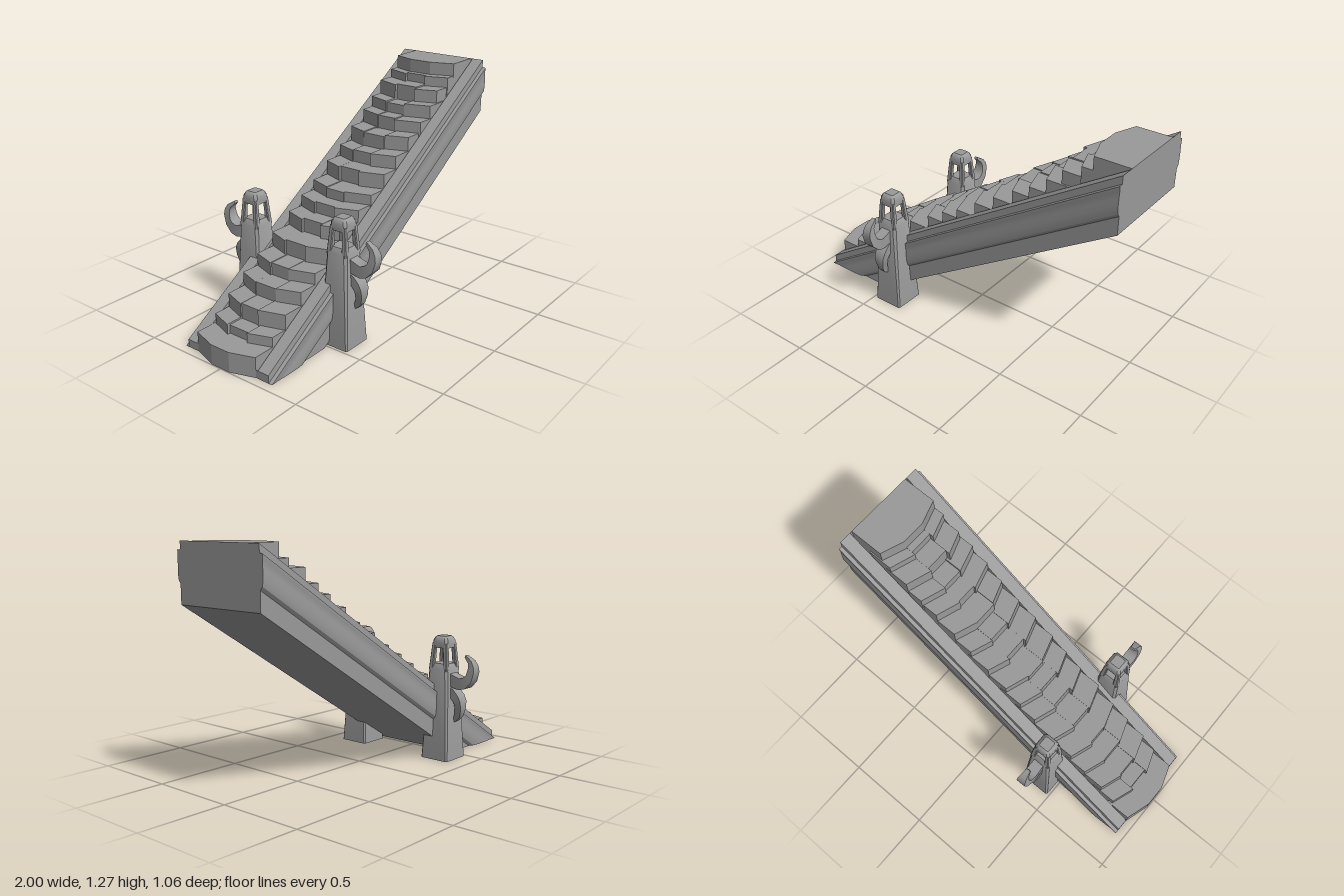
import * as THREE from 'three';
import { toCreasedNormals } from 'three/addons/utils/BufferGeometryUtils.js';

const material = new THREE.MeshStandardMaterial({ color: 0x9a9a9a });

// Solid through rings of [x, y, z] points; caps join point i to its mirror point n-1-i.
function loft(rings, crease = 0.5) {
  const pos = [];
  const n = rings[0].length;
  const quad = (a, b, c, d) => pos.push(...a, ...b, ...c, ...a, ...c, ...d);
  for (let k = 0; k < rings.length - 1; k++) {
    const r = rings[k], s = rings[k + 1];
    for (let i = 0; i < n; i++) {
      const j = (i + 1) % n;
      quad(r[i], r[j], s[j], s[i]);
    }
  }
  const first = rings[0], last = rings[rings.length - 1];
  for (let i = 0; i < n / 2 - 1; i++) {
    quad(first[n - 1 - i], first[n - 2 - i], first[i + 1], first[i]);
    quad(last[i], last[i + 1], last[n - 2 - i], last[n - 1 - i]);
  }
  // Turn the faces outward when the enclosed volume is negative
  let volume = 0;
  const a = new THREE.Vector3(), b = new THREE.Vector3(), c = new THREE.Vector3();
  for (let i = 0; i < pos.length; i += 9) {
    volume += a.fromArray(pos, i).dot(b.fromArray(pos, i + 3).cross(c.fromArray(pos, i + 6)));
  }
  if (volume < 0) {
    for (let i = 0; i < pos.length; i += 9) {
      const t = pos.slice(i, i + 3);
      for (let k = 0; k < 3; k++) { pos[i + k] = pos[i + 3 + k]; pos[i + 3 + k] = t[k]; }
    }
  }
  const geometry = new THREE.BufferGeometry();
  geometry.setAttribute('position', new THREE.Float32BufferAttribute(pos, 3));
  geometry.computeVertexNormals();
  return toCreasedNormals(geometry, crease);
}

function add(parent, name, geometry) {
  const mesh = new THREE.Mesh(geometry, material);
  mesh.name = name;
  parent.add(mesh);
}

// Square ring of half size h at height y, with corners cut by c
function square(x, y, z, h, c) {
  const side = (s) => [
    [x - h, y, z + s * (h - c)], [x - h + c, y, z + s * h], [x + h - c, y, z + s * h], [x + h, y, z + s * (h - c)],
  ];
  return [...side(-1), ...side(1).reverse()];
}

// Sloping body: bulged sides, narrow rails and a shallow channel, cut level at the ground
function rampGeometry() {
  const slope = 0.628;
  const half = [
    [0.213, 1.2], [0.213, 1.27], [0.283, 1.27], [0.284, 1.228], [0.305, 1.225], [0.304, 1.208],
    [0.302, 1.2], [0.304, 1.165], [0.305, 1.13], [0.304, 1.1], [0.3, 1.078], [0.287, 1.06], [0.286, 0.957],
  ];
  const profile = [...half, ...half.map(([z, y]) => [-z, y]).reverse()];
  const top = profile.map(([z, y]) => [1, y, z]);
  const foot = profile.map(([z, y]) => {
    const x = Math.max(-0.95, 1 - y / slope);
    return [x, Math.max(0, y - slope * (1 - x)), z];
  });
  return loft([top, foot], 0.45);
}

// Rows of three worn blocks, bowed toward the foot of the stair
function buildSteps() {
  const steps = new THREE.Group();
  steps.name = 'steps';
  let seed = 7;
  const jitter = (s) => {
    seed = (seed * 16807) % 2147483647;
    return (seed / 2147483647 - 0.5) * 2 * s;
  };
  const rows = [
    [-1, 0.115], [-0.88, 0.17], [-0.79, 0.25], [-0.665, 0.33], [-0.55, 0.4], [-0.42, 0.485],
    [-0.29, 0.56], [-0.18, 0.63], [-0.08, 0.69], [0.045, 0.765], [0.165, 0.845], [0.28, 0.92],
    [0.395, 0.995], [0.49, 1.06], [0.575, 1.14], [0.685, 1.195], [0.75, 1.27],
  ];
  rows.forEach(([x, y], r) => {
    const last = r === rows.length - 1;
    const s = r === 0 || last ? 0 : 1;
    const breaks = [-0.203 + jitter(0.007), -0.07 + jitter(0.008), 0.063 + jitter(0.008), 0.203 + jitter(0.007)];
    const fronts = [0.05, 0.004, 0.004, 0.05];
    const back = last ? 1 : x + 0.2;
    for (let i = 0; i < 3; i++) {
      const dx = s * (i === 1 ? 0.015 + jitter(0.015) : Math.abs(jitter(0.012)));
      const yTop = y + s * jitter(0.007);
      const plan = [
        [x + fronts[i] + dx, breaks[i]], [x + fronts[i + 1] + dx, breaks[i + 1]],
        [back, breaks[i + 1]], [back, breaks[i]],
      ];
      const level = (h) => plan.map(([px, pz]) => [px, h, pz]);
      add(steps, 'stepBlock', loft([level(Math.max(0, y - 0.2)), level(yTop)]));
    }
  });
  return steps;
}

// Tapering flat-sided claw: stations of outer edge, inner edge [z, y] and half width
function hookGeometry(stations) {
  return loft(stations.map(([oz, oy, iz, iy, w]) => [[w, oy, oz], [w, iy, iz], [-w, iy, iz], [-w, oy, oz]]), 0.7);
}

// Tapered post with an open lantern top and two claws on its outer side
function buildPost(name) {
  const post = new THREE.Group();
  post.name = name;
  add(post, 'postBody', loft([
    square(0, 0, 0, 0.091, 0.008), square(0, 0.525, 0, 0.065, 0.014), square(0, 0.555, 0, 0.048, 0.012),
  ]));
  for (const sx of [-1, 1]) {
    for (const sz of [-1, 1]) {
      add(post, 'lanternLeg', loft([
        square(sx * 0.049, 0.515, sz * 0.049, 0.015, 0.005), square(sx * 0.038, 0.67, sz * 0.038, 0.012, 0.004),
      ]));
    }
  }
  add(post, 'lanternCap', loft([
    square(0, 0.645, 0, 0.05, 0.008), square(0, 0.685, 0, 0.051, 0.014),
    square(0, 0.703, 0, 0.042, 0.012), square(0, 0.712, 0, 0.031, 0.006),
  ]));
  add(post, 'upperHook', hookGeometry([
    [0.048, 0.432, 0.048, 0.51, 0.03], [0.083, 0.423, 0.078, 0.496, 0.032], [0.128, 0.415, 0.128, 0.48, 0.034],
    [0.166, 0.426, 0.156, 0.49, 0.034], [0.205, 0.466, 0.172, 0.506, 0.032], [0.222, 0.524, 0.179, 0.53, 0.029],
    [0.216, 0.558, 0.182, 0.55, 0.026], [0.198, 0.587, 0.177, 0.572, 0.021], [0.154, 0.615, 0.148, 0.602, 0.012],
  ]));
  add(post, 'lowerHook', hookGeometry([
    [0.048, 0.43, 0.048, 0.36, 0.03], [0.088, 0.412, 0.073, 0.358, 0.033], [0.12, 0.38, 0.088, 0.345, 0.034],
    [0.137, 0.345, 0.096, 0.328, 0.032], [0.137, 0.3, 0.096, 0.3, 0.026],
    [0.126, 0.257, 0.091, 0.273, 0.018], [0.103, 0.23, 0.08, 0.252, 0.012], [0.07, 0.213, 0.066, 0.232, 0.005],
  ]));
  return post;
}

export function createModel() {
  const model = new THREE.Group();
  model.name = 'staircase';
  add(model, 'ramp', rampGeometry());
  model.add(buildSteps());

  const frontPost = buildPost('frontPost');
  frontPost.position.set(-0.395, 0, 0.312);
  // Matching post on the far side, turned half round
  const backPost = buildPost('backPost');
  backPost.rotation.y = Math.PI;
  backPost.position.set(-0.395, 0, -0.3);
  model.add(frontPost, backPost);
  return model;
}
